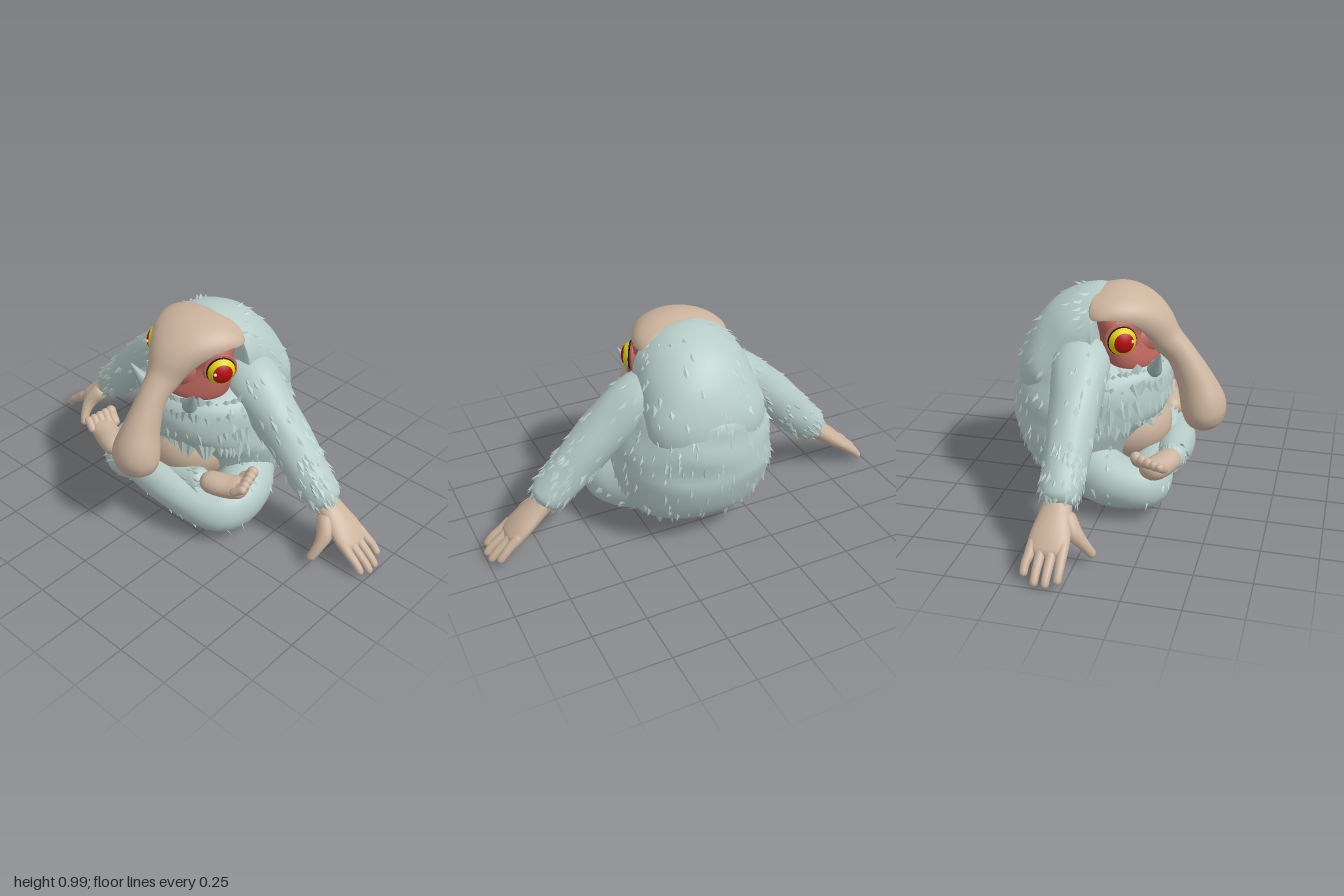
import * as THREE from 'three';
import { mergeGeometries } from 'three/addons/utils/BufferGeometryUtils.js';

const V = (x, y, z) => new THREE.Vector3(x, y, z);
const mat = (name, color) => new THREE.MeshStandardMaterial({ name, color });

// Tube through sections [x, y, z, a, b, f]: a is the radius along side, b across it, f flattens the lower half
function loft(sections, side, { cap = null, lump = 0, rings = 32, sides = 24, up = null } = {}) {
  const path = new THREE.CatmullRomCurve3(sections.map(s => V(s[0], s[1], s[2])), false, 'catmullrom');
  const size = new THREE.CatmullRomCurve3(sections.map(s => V(s[3], s[4] ?? s[3], s[5] ?? 1)), false, 'catmullrom');
  const first = path.getPoint(0), last = path.getPoint(1);
  const pos = [], idx = [];
  for (let i = 0; i <= rings; i++) {
    const u = 0.5 - 0.5 * Math.cos(Math.PI * i / rings);
    const c = path.getPoint(u), r = size.getPoint(u), T = up ?? path.getTangent(u);
    const B = T.clone().cross(side).normalize(), S = B.clone().cross(T);
    const d = Math.min(1, Math.min(c.distanceTo(first), c.distanceTo(last)) / (cap ?? Math.min(r.x, r.y)));
    const round = Math.sqrt(Math.max(0, 1 - (1 - d) ** 2));
    for (let j = 0; j < sides; j++) {
      const t = j / sides * Math.PI * 2;
      const k = round * (1 + lump * (Math.sin(5 * t + i * 0.9) + Math.sin(3 * t - i * 0.6)));
      const b = r.y * (Math.sin(t) < 0 ? r.z : 1);
      const p = c.clone().addScaledVector(S, r.x * k * Math.cos(t)).addScaledVector(B, b * k * Math.sin(t));
      pos.push(p.x, p.y, p.z);
      if (i < rings) {
        const m = i * sides + j, n = i * sides + (j + 1) % sides;
        idx.push(m, n, n + sides, m, n + sides, m + sides);
      }
    }
  }
  const g = new THREE.BufferGeometry();
  g.setAttribute('position', new THREE.Float32BufferAttribute(pos, 3));
  g.setIndex(idx);
  g.computeVertexNormals();
  return g;
}

let seed = 7;
const rand = () => (seed = (seed * 16807) % 2147483647) / 2147483647;

// One pointed lock of fur lying along flow and lifting off the surface
function lock(out, p, n, flow, len, w, lift) {
  const d = flow.clone().addScaledVector(n, -flow.dot(n)).addScaledVector(n, lift).normalize();
  const s = n.clone().cross(d).normalize();
  const base = p.clone().addScaledVector(n, -0.006);
  const A = base.clone().addScaledVector(s, w), B = base.clone().addScaledVector(s, -w);
  const C = p.clone().addScaledVector(d, len), D = p.clone().addScaledVector(n, w * 0.25).addScaledVector(d, -w);
  for (const q of [A, D, C, D, B, C, B, A, C]) out.push(q.x, q.y, q.z);
}

function locksGeometry(out) {
  const g = new THREE.BufferGeometry();
  g.setAttribute('position', new THREE.Float32BufferAttribute(out, 3));
  g.computeVertexNormals();
  return g;
}

// Scatter locks evenly by area over a surface
function scatter(geo, count, flow, keep) {
  const out = [], p = geo.attributes.position, idx = geo.index.array;
  const tri = new THREE.Triangle(), n = V(), faces = idx.length / 3;
  const load = f => tri.setFromAttributeAndIndices(p, idx[f * 3], idx[f * 3 + 1], idx[f * 3 + 2]);
  let max = 0;
  for (let f = 0; f < faces; f++) max = Math.max(max, load(f).getArea());
  for (let made = 0, tries = 0; made < count && tries < 60000; tries++) {
    load(Math.floor(rand() * faces));
    if (rand() * max > tri.getArea()) continue;
    const q = tri.getMidpoint(V());
    if (!keep(q)) continue;
    lock(out, q, tri.getNormal(n), flow, 0.02 + rand() * 0.03, 0.009 + rand() * 0.014, 0.15 + rand() * 0.3);
    made++;
  }
  return locksGeometry(out);
}

export function createModel() {
  const model = new THREE.Group();
  const fur = mat('fur', 0xb6cbc7), skin = mat('skin', 0xcbb39d), socket = mat('eye socket', 0xb9655c);
  const red = mat('pupil red', 0xb60f10), yellow = mat('iris yellow', 0xe2d208), black = mat('eye rim', 0x111111);
  const white = mat('eye shine', 0xe6dcdc), tuskGrey = mat('tusk grey', 0xa3b7b5);
  const add = (parent, name, geo, m) => {
    const mesh = new THREE.Mesh(geo, m);
    mesh.name = name;
    parent.add(mesh);
    return mesh;
  };
  const ball = (parent, name, m, p, r) => {
    const mesh = add(parent, name, new THREE.SphereGeometry(1, 32, 20), m);
    mesh.position.set(...p);
    mesh.scale.set(...r);
  };
  const X = V(1, 0, 0), Y = V(0, 1, 0), Z = V(0, 0, 1), down = V(0, -1, 0);

  // Furry torso and the hunched hood behind the head
  const torso = loft([
    [0, 0.095, -0.17, 0.14, 0.13], [0, 0.125, -0.17, 0.28, 0.21], [0, 0.2, -0.175, 0.35, 0.265],
    [0, 0.34, -0.165, 0.38, 0.325], [0, 0.42, -0.135, 0.375, 0.36], [0, 0.5, -0.125, 0.365, 0.372],
    [0, 0.58, -0.115, 0.34, 0.36], [0, 0.64, -0.125, 0.31, 0.335], [0, 0.69, -0.17, 0.27, 0.262],
    [0, 0.76, -0.2, 0.22, 0.19], [0, 0.82, -0.21, 0.16, 0.12]
  ], X, { cap: 0.02, lump: 0.008, rings: 44, sides: 40, up: Y });
  const hood = loft([
    [0, 0.77, -0.055, 0.252, 0.212], [0, 0.767, -0.11, 0.258, 0.214], [0, 0.74, -0.17, 0.265, 0.21],
    [0, 0.67, -0.25, 0.278, 0.19], [0, 0.58, -0.31, 0.28, 0.16], [0, 0.45, -0.33, 0.22, 0.12]
  ], X, { cap: 0.012, lump: 0.005, rings: 40, sides: 36 });
  add(model, 'torso', torso, fur);
  add(model, 'hood', hood, fur);
  add(model, 'torsoFur', scatter(torso, 300, down, p => p.z < 0.1 && p.y > 0.13), fur);
  add(model, 'hoodFur', scatter(hood, 90, V(0, -0.8, -0.5), p => p.z < -0.09), fur);

  // Ragged rows of longer fur across the chest
  const fringe = [];
  for (const [y, rx, rz, zc] of [[0.42, 0.375, 0.36, -0.135], [0.5, 0.365, 0.372, -0.125], [0.58, 0.34, 0.36, -0.115], [0.64, 0.31, 0.335, -0.125]])
    for (let t = -1.2; t <= 1.2; t += 0.06 + rand() * 0.09) {
      const p = V(rx * Math.sin(t), y + (rand() - 0.5) * 0.04, zc + rz * Math.cos(t));
      lock(fringe, p, V(Math.sin(t), 0, Math.cos(t)), V(rand() - 0.5, -1, 0), 0.035 + rand() * 0.04, 0.015 + rand() * 0.02, 0.12);
    }
  add(model, 'chestFringe', locksGeometry(fringe), fur);
  ball(model, 'belly', skin, [0, 0.32, 0.03], [0.225, 0.18, 0.225]);

  // Bald domed brow, flat beneath, narrowing into the long drooping nose
  add(model, 'browAndNose', loft([
    [0, 0.88, -0.13, 0.19, 0.085, 0.15], [0, 0.882, -0.05, 0.222, 0.1, 0.15], [0, 0.886, 0.02, 0.212, 0.105, 0.15],
    [0, 0.87, 0.09, 0.182, 0.101, 0.2], [0, 0.82, 0.155, 0.132, 0.1, 0.4], [0, 0.75, 0.215, 0.085, 0.083, 0.8],
    [0, 0.68, 0.29, 0.066, 0.067], [0, 0.56, 0.358, 0.08, 0.085], [0, 0.45, 0.4, 0.11, 0.105],
    [0, 0.38, 0.412, 0.108, 0.095], [0, 0.31, 0.425, 0.06, 0.06]
  ], X, { cap: 0.05, rings: 64, sides: 36 }), skin);

  // Red face around the eyes
  add(model, 'face', loft([
    [0, 0.61, 0.05, 0.17, 0.12], [0, 0.66, 0.05, 0.208, 0.14], [0, 0.72, 0.045, 0.22, 0.125],
    [0, 0.79, 0.03, 0.215, 0.112], [0, 0.85, 0.02, 0.212, 0.125], [0, 0.9, 0, 0.19, 0.12]
  ], X, { cap: 0.02, sides: 40, up: Y }), socket);
  ball(model, 'noseRoot', socket, [0, 0.75, 0.09], [0.125, 0.1, 0.105]);

  // Eyes and tusks
  for (const s of [1, -1]) {
    const eye = new THREE.Group();
    eye.name = s > 0 ? 'leftEye' : 'rightEye';
    eye.position.set(s * 0.178, 0.79, 0.05);
    const gaze = V(s * 0.85, 0, 0.52).normalize();
    const bands = [['pupil', red, 0, 0.7], ['iris', yellow, 0.7, 0.42], ['rim', black, 1.12, 0.12], ['eyeball', socket, 1.24, Math.PI - 1.24]];
    for (const [name, m, from, length] of bands)
      add(eye, name, new THREE.SphereGeometry(0.071, 36, 10, 0, Math.PI * 2, from, length), m)
        .quaternion.setFromUnitVectors(Y, gaze);
    const lid = add(eye, 'eyelid', new THREE.TorusGeometry(0.071, 0.008, 10, 36), socket);
    lid.quaternion.setFromUnitVectors(Z, gaze);
    lid.position.copy(gaze).multiplyScalar(0.012);
    ball(eye, 'shine', white, [s * 0.032, 0.006, 0.062], [0.008, 0.008, 0.008]);
    model.add(eye);
    add(model, 'tusk', loft([
      [s * 0.12, 0.615, 0.185, 0.036], [s * 0.14, 0.65, 0.2, 0.034],
      [s * 0.17, 0.695, 0.218, 0.019], [s * 0.197, 0.742, 0.237, 0.002]
    ], Z, { rings: 16, sides: 14 }), tuskGrey);
  }

  // Furry arms with bare hands, built on the left and mirrored
  for (const s of [1, -1]) {
    const tube = (pts, o) => loft(pts.map(([x, ...r]) => [x * s, ...r]), Z, o);
    const arm = new THREE.Group();
    arm.name = s > 0 ? 'leftArm' : 'rightArm';
    const sleeve = tube([
      [0.14, 0.69, -0.13, 0.12], [0.25, 0.665, -0.115, 0.13, 0.122], [0.38, 0.56, -0.1, 0.115], [0.5, 0.45, -0.095, 0.105],
      [0.6, 0.345, -0.09, 0.098], [0.68, 0.27, -0.09, 0.088], [0.73, 0.225, -0.09, 0.07]
    ], { cap: 0.04, lump: 0.015 });
    const flow = V(s * 0.7, -0.7, 0);
    add(arm, 'sleeve', sleeve, fur);
    add(arm, 'sleeveFur', mergeGeometries([
      scatter(sleeve, 60, flow, p => Math.abs(p.x) > 0.27),
      scatter(sleeve, 70, flow, p => Math.abs(p.x) > 0.6)
    ]), fur);
    add(arm, 'palm', tube([
      [0.67, 0.27, -0.09, 0.055, 0.05], [0.75, 0.205, -0.09, 0.07, 0.046], [0.82, 0.15, -0.09, 0.087, 0.042],
      [0.87, 0.11, -0.09, 0.088, 0.032], [0.9, 0.085, -0.09, 0.07, 0.022]
    ]), skin);
    for (const [base, tip, x, y] of [[-0.025, -0.018, 0.982, 0.018], [-0.068, -0.066, 0.998, 0.004], [-0.112, -0.115, 0.992, 0.002], [-0.153, -0.167, 0.965, 0.025]])
      add(arm, 'finger', tube([
        [0.84, 0.135, base, 0.026], [0.9, 0.09, (base + tip) / 2, 0.022], [x - 0.035, y + 0.04, tip, 0.019], [x, y, tip, 0.017]
      ], { rings: 16, sides: 12 }), skin);
    add(arm, 'thumb', tube([
      [0.73, 0.21, -0.06, 0.045], [0.775, 0.15, -0.008, 0.039], [0.777, 0.095, 0.038, 0.026], [0.757, 0.03, 0.078, 0.019]
    ], { rings: 18, sides: 12 }), skin);
    model.add(arm);
  }

  // Crossed legs, the left shin lying in front of the right
  const legs = {
    leftLeg: [[0.2, 0.23, -0.15, 0.13], [0.3, 0.17, 0, 0.13], [0.325, 0.145, 0.12, 0.12], [0.28, 0.14, 0.2, 0.11],
      [0.1, 0.18, 0.26, 0.095], [-0.08, 0.215, 0.28, 0.08], [-0.24, 0.265, 0.31, 0.055]],
    rightLeg: [[-0.2, 0.23, -0.15, 0.13], [-0.3, 0.17, 0, 0.13], [-0.325, 0.155, 0.12, 0.115], [-0.28, 0.15, 0.2, 0.11],
      [-0.1, 0.18, 0.2, 0.09], [0.08, 0.215, 0.2, 0.08], [0.24, 0.265, 0.2, 0.055]]
  };
  for (const [name, pts] of Object.entries(legs)) {
    const leg = loft(pts, Y, { cap: 0.04, lump: 0.012, rings: 40 });
    const s = Math.sign(pts[6][0]);
    add(model, name, leg, fur);
    add(model, name + 'Fur', mergeGeometries([
      scatter(leg, 55, V(-s * 0.8, -0.4, 0.2), p => p.y > 0.06 && (p.y < 0.17 || p.z < 0.1)),
      scatter(leg, 40, V(s, 0, 0), p => p.x * s > 0.14)
    ]), fur);
  }

  // Bare feet resting on the opposite knees
  for (const s of [1, -1]) {
    const foot = new THREE.Group();
    foot.name = s > 0 ? 'rightFoot' : 'leftFoot';
    const at = (pts, o) => loft(pts.map(([x, ...r]) => [x * s, ...r]), V(s * 0.35, 0.1, 0.93).normalize(), o);
    add(foot, 'sole', at([
      [0.22, 0.285, 0.21, 0.05, 0.045], [0.29, 0.285, 0.195, 0.06, 0.052], [0.36, 0.285, 0.165, 0.064, 0.052], [0.44, 0.305, 0.14, 0.062, 0.046]
    ]), skin);
    for (let k = 0; k < 5; k++) {
      const t = (k - 2) * 0.03, r = 0.026 - k * 0.0015;
      const x = 0.41 + t * 0.35, y = 0.315, z = 0.148 + t * 0.93;
      add(foot, 'toe', at([
        [x - 0.03, y - 0.015, z + 0.01, r], [x + 0.015, y + 0.015, z - 0.005, r], [x + 0.04, y + 0.062 - k * 0.008, z - 0.012, r * 1.05]
      ], { rings: 14, sides: 12 }), skin);
    }
    if (s < 0) foot.position.set(0, -0.015, 0.095);
    model.add(foot);
  }
  return model;
}
